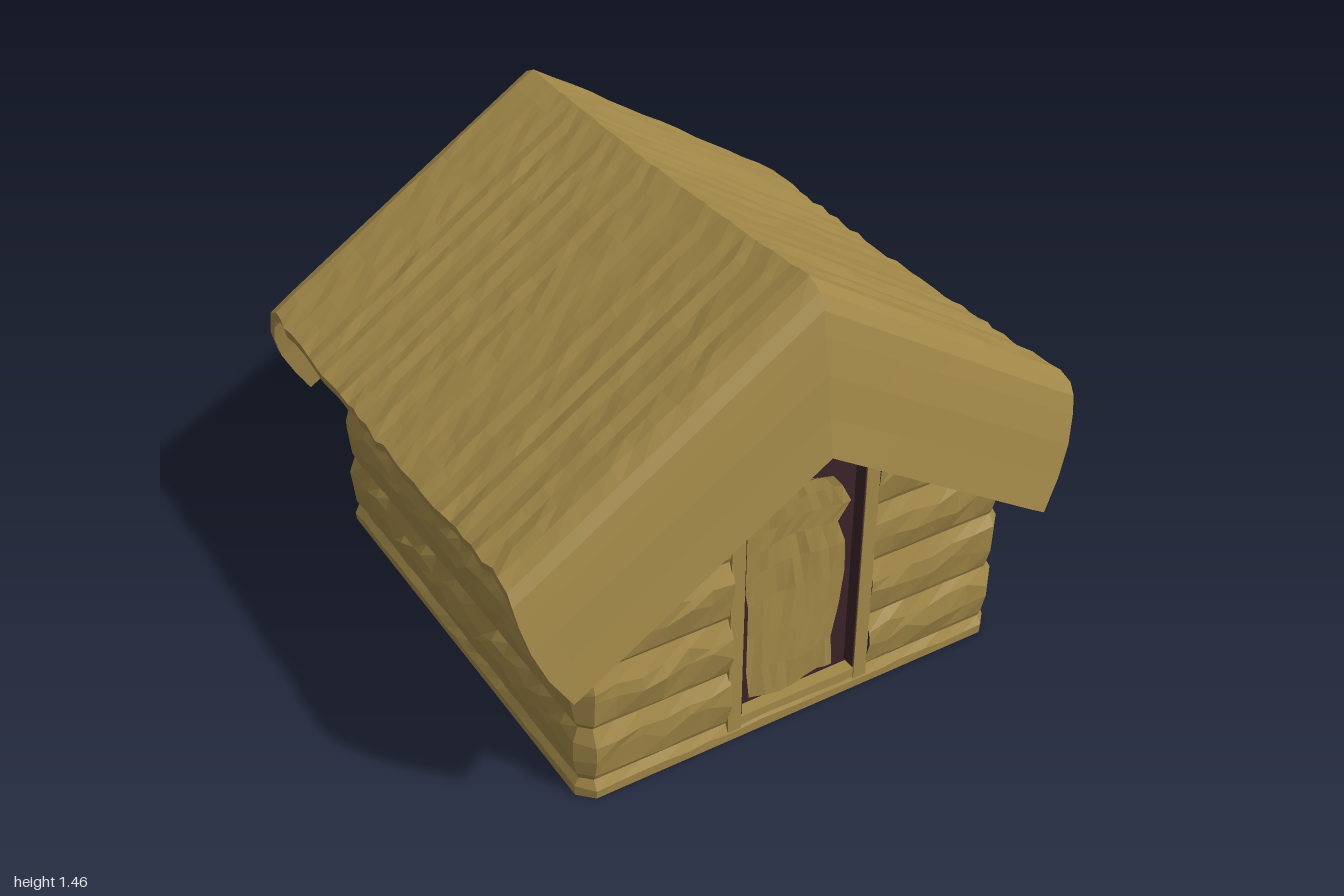
import * as THREE from 'three';

const hide = new THREE.MeshStandardMaterial({ color: 0xa28848 });
hide.name = 'tan hide';
const shade = new THREE.MeshStandardMaterial({ color: 0x3a2429 });
shade.name = 'dark doorway';

// Repeatable noise in -1..1
const noise = (a, b) => {
  const s = Math.sin(a * 127.1 + b * 311.7) * 43758.5453;
  return (s - Math.floor(s)) * 2 - 1;
};

// Faceted surface over an nu x nv grid of points from f(i, j)
function grid(nu, nv, f, skip = () => false) {
  const pos = [], index = [];
  for (let i = 0; i <= nu; i++) for (let j = 0; j <= nv; j++) pos.push(...f(i, j));
  for (let i = 0; i < nu; i++) for (let j = 0; j < nv; j++) {
    if (skip(i, j)) continue;
    const a = i * (nv + 1) + j, b = a + nv + 1;
    index.push(a, b, b + 1, a, b + 1, a + 1);
  }
  const g = new THREE.BufferGeometry();
  g.setAttribute('position', new THREE.Float32BufferAttribute(pos, 3));
  g.setIndex(index);
  const flat = g.toNonIndexed();
  flat.computeVertexNormals();
  return flat;
}

function add(parent, name, geometry, material = hide) {
  const m = new THREE.Mesh(geometry, material);
  m.name = name;
  parent.add(m);
  return m;
}

function box(parent, name, w, h, d, x, y, z, material) {
  add(parent, name, new THREE.BoxGeometry(w, h, d), material).position.set(x, y, z);
}

// Log walls, lofted upward around a chamfered rectangle and narrowing into the gables
function buildWalls(group) {
  const HX = 0.772, HZ = 0.71;
  const rim = [];
  const half = [0.68, 0.61, 0.53, 0.46, 0.38, 0.31, 0.24, 0.12];
  const zs = [...half, 0, ...half.map(z => -z).reverse()];
  const NX = 22;
  const xs = Array.from({ length: NX + 1 }, (_, i) => -0.742 + 1.484 * i / NX);
  xs.forEach(x => rim.push([x, HZ, 0, 1]));
  zs.forEach(z => rim.push([HX, z, 1, 0]));
  xs.forEach(x => rim.push([-x, -HZ, 0, -1]));
  zs.forEach(z => rim.push([-HX, -z, -1, 0]));
  const n = rim.length;

  // Rows: height, bulge, roughness
  const rows = [[0, 0.014, 0], [0.03, 0.016, 0.2], [0.06, 0, 0]];
  [[0.06, 0.25], [0.25, 0.45], [0.45, 0.65], [0.65, 0.85]].forEach(([a, b]) => {
    [[0.08, 0.008, 0.2], [0.5, 0.023, 1], [0.75, 0.02, 0.7], [1, 0, 0]].forEach(([t, out, r]) =>
      rows.push([a + (b - a) * t, out, r]));
  });
  [0.91, 0.95, 1.1, 1.25, 1.4].forEach(y => rows.push([y, 0.008, 0]));

  const point = (i, j) => {
    const k = i % n, [x, z, nx, nz] = rim[k], [y, out, rough] = rows[j];
    const o = out + 0.008 * rough * noise(k, j);
    const limit = Math.max(0, (1.4 - y) * 1.53);
    return [x + nx * o, y + 0.026 * rough * noise(j + 7, k),
      THREE.MathUtils.clamp(z + nz * o, -limit, limit)];
  };
  const inDoor = (i, j) => {
    const a = rim[i], b = rim[(i + 1) % n];
    return a[2] === 1 && b[2] === 1 && Math.abs(a[1] + b[1]) < 0.47 &&
      rows[j][0] > 0.05 && rows[j + 1][0] < 0.92;
  };
  add(group, 'logWalls', grid(n, rows.length - 1, point, inDoor));
  add(group, 'floor', grid(n, 1, (i, j) => j ? point(i, 0) : [0, 0, 0]));
}

// Draped roof: a sheet over the ridge with hanging gable flaps at both ends
function buildRoof(group) {
  const NU = 36, NV = 28;
  const drape = [[0.882, 1], [0.862, 0.75], [0.845, 0.5], [0.825, 0.28], [0.81, 0.14], [0.788, 0.05]];
  const profile = [...drape.map(([x, t]) => [-x, t])];
  for (let i = 0; i <= NU; i++) profile.push([-0.74 + 1.48 * i / NU, 0]);
  profile.push(...[...drape].reverse());
  const m = profile.length;

  const outer = (k, s) => {
    const [x, t] = profile[k], v = Math.abs(s);
    const top = 1.435 + 0.02 * (x / 0.74) ** 2 * (1 - t) - 0.595 * v;
    const low = 0.97 - 0.49 * v;
    const rough = t === 0 ? 0.005 * noise(k, 1) * Math.min(1, v * 5) + 0.003 * noise(k, Math.round(s * 14)) : 0;
    const z = (0.92 - 0.13 * t * t) * v + (v === 1 ? 0.006 * noise(k, 5) : 0);
    return [x, top + (low - top) * t + rough, Math.sign(s) * z];
  };
  const inner = (k, s) => {
    const [x, y, z] = outer(k, s), t = profile[k][1];
    return [x * 0.98, y - 0.03 * (1 - t), z * 0.995];
  };
  const slope = i => -1 + 2 * i / NV;
  const loop = (i, j) => {
    const k = j % (2 * m);
    return k < m ? outer(k, slope(i)) : inner(2 * m - 1 - k, slope(i));
  };
  add(group, 'roofCover', grid(NV, 2 * m, loop));
  add(group, 'frontEaveEdge', grid(m - 1, 1, (i, j) => j ? outer(i, 1) : inner(i, 1)));
  add(group, 'backEaveEdge', grid(m - 1, 1, (i, j) => j ? inner(i, -1) : outer(i, -1)));
}

// Doorway in the right gable: dark backing, jambs and a hanging hide
function buildDoor(group) {
  box(group, 'doorwayBacking', 0.009, 0.88, 0.46, 0.735, 0.49, 0, shade);
  for (const s of [-1, 1]) {
    box(group, 'doorJamb', 0.06, 0.9, 0.045, 0.755, 0.46, s * 0.222);
    box(group, 'doorJambLining', 0.045, 0.82, 0.006, 0.759, 0.49, s * 0.198, shade);
  }
  box(group, 'doorSill', 0.06, 0.07, 0.44, 0.752, 0.036, 0);
  box(group, 'doorLintel', 0.06, 0.03, 0.46, 0.755, 0.915, 0);

  // Ragged hide: height, front edge, back edge
  const rows = [[0.095, 0.15, -0.14], [0.2, 0.165, -0.135], [0.32, 0.165, -0.155], [0.45, 0.175, -0.16],
    [0.56, 0.195, -0.15], [0.64, 0.195, -0.12], [0.7, 0.2, -0.16], [0.76, 0.195, -0.13],
    [0.8, 0.19, -0.1], [0.86, 0.185, 0.12], [0.9, 0.18, 0.15]];
  add(group, 'doorHide', grid(12, rows.length - 1, (i, j) => {
    const [y, a, b] = rows[j], z = a + (b - a) * i / 12;
    const fold = Math.sin(z * 22 + y * 7) * 0.01 + 0.004 * noise(i, j);
    return [0.76 + fold, y, z];
  }));
}

export function createModel() {
  const model = new THREE.Group();
  model.name = 'hut';
  buildWalls(model);
  buildRoof(model);
  buildDoor(model);
  // The hut stands slightly turned
  model.rotation.y = -0.108;
  const root = new THREE.Group();
  root.name = 'turnedHut';
  root.add(model);
  return root;
}
